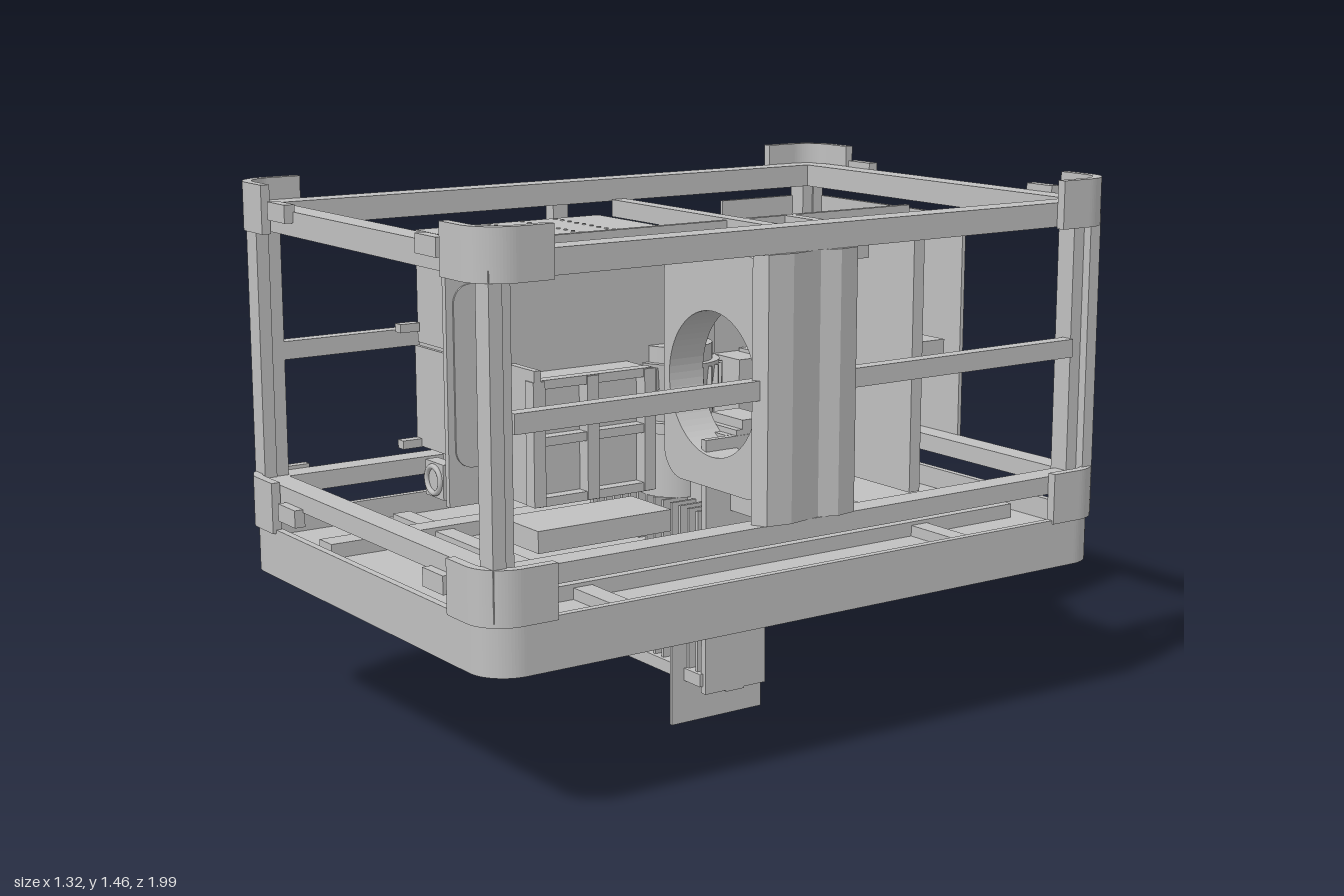
import * as THREE from 'three';

export function createModel() {
  const model = new THREE.Group();
  const grey = new THREE.MeshStandardMaterial({ color: 0xc0c0c0 });
  grey.name = 'light grey metal';

  const add = (name, geo) => {
    const m = new THREE.Mesh(geo, grey);
    m.name = name;
    model.add(m);
    return m;
  };
  // box given by its extents on each axis
  const box = (name, x0, x1, y0, y1, z0, z1) => {
    const m = add(name, new THREE.BoxGeometry(x1 - x0, y1 - y0, z1 - z0));
    m.position.set((x0 + x1) / 2, (y0 + y1) / 2, (z0 + z1) / 2);
    return m;
  };
  const cyl = (name, r0, r1, y0, y1, x, z) => {
    const m = add(name, new THREE.CylinderGeometry(r1, r0, y1 - y0, 32));
    m.position.set(x, (y0 + y1) / 2, z);
    return m;
  };
  const rounded = (path, x0, x1, y0, y1, r) => {
    path.moveTo(x0 + r, y0);
    path.lineTo(x1 - r, y0); path.absarc(x1 - r, y0 + r, r, -Math.PI / 2, 0);
    path.lineTo(x1, y1 - r); path.absarc(x1 - r, y1 - r, r, 0, Math.PI / 2);
    path.lineTo(x0 + r, y1); path.absarc(x0 + r, y1 - r, r, Math.PI / 2, Math.PI);
    path.lineTo(x0, y0 + r); path.absarc(x0 + r, y0 + r, r, Math.PI, Math.PI * 1.5);
    return path;
  };
  const extrude = (shape, depth) =>
    new THREE.ExtrudeGeometry(shape, { depth, bevelEnabled: false, curveSegments: 10 });
  // plan outline raised from y0 to y1 (shape y becomes -z)
  const raise = (name, shape, y0, y1) => {
    const m = add(name, extrude(shape, y1 - y0).rotateX(-Math.PI / 2));
    m.position.y = y0;
    return m;
  };
  // thin sheet wrapped round a vertical corner, in the +x, -z quadrant
  const wrap = (x, z, r, t, xEnd, zEnd) => {
    const s = new THREE.Shape();
    s.moveTo(xEnd, z); s.lineTo(xEnd, z - t); s.lineTo(x - r, z - t);
    s.absarc(x - r, z - r, r - t, Math.PI / 2, 0, true);
    s.lineTo(x - t, zEnd); s.lineTo(x, zEnd); s.lineTo(x, z - r);
    s.absarc(x - r, z - r, r, 0, Math.PI / 2, false);
    s.closePath();
    return s;
  };

  // base tray: rim with a recessed floor
  const rim = rounded(new THREE.Shape(), -0.655, 0.655, -0.985, 0.985, 0.1);
  rim.holes.push(rounded(new THREE.Path(), -0.635, 0.635, -0.965, 0.965, 0.08));
  raise('baseRim', rim, 0.395, 0.53);
  raise('baseFloor', rounded(new THREE.Shape(), -0.636, 0.636, -0.966, 0.966, 0.08), 0.44, 0.47);
  for (const s of [-1, 1]) {
    box('floorRail', s * 0.35 - 0.035, s * 0.35 + 0.035, 0.47, 0.51, -0.9, 0.9);
    box('floorCrossMember', -0.56, 0.56, 0.47, 0.5, s * 0.555 - 0.028, s * 0.555 + 0.028);
  }
  for (const z of [-0.57, 0, 0.57]) box('underRib', -0.45, 0.45, 0.425, 0.44, z - 0.012, z + 0.012);

  // frame rails
  for (const s of [-1, 1]) {
    for (const [y0, y1] of [[0.6, 0.65], [1.335, 1.4]]) {
      box('endRail', -0.58, 0.58, y0, y1, s * 0.93 - 0.035, s * 0.93 + 0.035);
      box('sideRail', s * 0.6 - 0.035, s * 0.6 + 0.035, y0, y1, -0.95, 0.95);
    }
    box('middleRail', s * 0.6 - 0.02, s * 0.6 + 0.02, 0.97, 1.02, -0.89, 0.89);
  }
  // posts, corner guards and latches
  for (const sx of [-1, 1]) for (const sz of [-1, 1]) {
    box('cornerPost', sx * 0.605 - 0.03, sx * 0.605 + 0.03, 0.53, 1.36, sz * 0.945 - 0.018, sz * 0.945 + 0.018);
    box('cornerPostFlange', sx * 0.595 - 0.045, sx * 0.595 + 0.015, 0.6, 1.36, sz * 0.91 - 0.02, sz * 0.91 + 0.02);
    for (const [y0, y1] of [[0.52, 0.66], [1.33, 1.46]]) {
      const guard = new THREE.Group();
      guard.name = 'cornerGuard';
      const a = raise('cornerGuardShell', wrap(0.66, 0.995, 0.1, 0.025, 0.47, 0.8), y0, y1);
      guard.add(a);
      // turned half round, or drawn with swapped sides, to reach each corner
      if (sx * sz < 0) a.rotation.y = sx > 0 ? 0 : Math.PI;
      else {
        const g = extrude(wrap(0.995, 0.66, 0.1, 0.025, 0.8, 0.47), y1 - y0).rotateX(-Math.PI / 2);
        a.geometry = g;
        a.rotation.y = sx > 0 ? -Math.PI / 2 : Math.PI / 2;
      }
      model.add(guard);
    }
    for (const y of [0.585, 1.395])
      box('latch', sx * 0.395 - 0.05, sx * 0.395 + 0.05, y - 0.024, y + 0.024, sz * 0.975 - 0.015, sz * 0.975 + 0.015);
  }
  box('sidePost', -0.62, -0.58, 0.64, 1.35, -0.025, 0.025);
  box('topBeam', -0.56, 0.56, 1.29, 1.34, -0.212, -0.165);
  box('lowerBeam', -0.56, 0.56, 0.6, 0.65, -0.02, 0.02);

  // wrapped rear corner panel
  const rear = raise('rearCornerPanel', wrap(0.975, 0.645, 0.09, 0.012, 0.62, -0.08), 0.6, 1.3);
  rear.rotation.y = Math.PI / 2;

  // bent side panel with a shallow crease
  const bent = new THREE.Shape();
  [[0.6, -0.19], [0.64, -0.17], [0.65, -0.1], [0.63, 0], [0.65, 0.05], [0.64, 0.11],
    [0.625, 0.11], [0.635, 0.05], [0.615, 0], [0.635, -0.1], [0.625, -0.16], [0.6, -0.175]]
    .forEach(([x, y], i) => (i ? bent.lineTo(x, y) : bent.moveTo(x, y)));
  raise('bentSidePanel', bent, 0.65, 1.335);

  // central bulkhead with louvre slots (shape x becomes -z)
  const wall = new THREE.Shape();
  wall.moveTo(-0.72, 0.65); wall.lineTo(0.82, 0.65); wall.lineTo(0.82, 1.335); wall.lineTo(-0.72, 1.335);
  wall.closePath();
  for (let i = 0; i < 8; i++) {
    const y = 0.73 + i * 0.064;
    wall.holes.push(rounded(new THREE.Path(), 0.52, 0.79, y, y + 0.016, 0.007));
  }
  const bulkhead = add('centralBulkhead', extrude(wall, 0.018).rotateY(Math.PI / 2));
  bulkhead.position.x = -0.009;
  const door = add('bulkheadDoor', extrude(rounded(new THREE.Shape(), -0.7, 0.12, 0.75, 1.23, 0.05), 0.006).rotateY(Math.PI / 2));
  door.position.x = 0.008;

  // cross plate and fan shroud
  box('crossPlate', 0.01, 0.56, 0.65, 1.335, -0.4, -0.365);
  const shroud = rounded(new THREE.Shape(), 0.105, 0.548, 0.68, 1.31, 0.08);
  const hole = new THREE.Path();
  hole.absarc(0.322, 0.957, 0.193, 0, Math.PI * 2);
  shroud.holes.push(hole);
  const shroudMesh = add('fanShroud', new THREE.ExtrudeGeometry(shroud, { depth: 0.11, bevelEnabled: false, curveSegments: 32 }));
  shroudMesh.position.z = 0.001;

  // stacked cabinets with vents, hinges and a fan
  box('lowerCabinet', -0.558, -0.2, 0.69, 0.975, -0.1, 0.5);
  box('upperCabinet', -0.55, -0.198, 0.985, 1.3, -0.11, 0.495);
  box('cabinetSeam', -0.55, -0.21, 0.97, 0.99, -0.1, 0.49);
  for (let r = 0; r < 4; r++) for (let c = 0; c < 9; c++)
    cyl('ventStud', 0.006, 0.006, 1.299, 1.303, -0.53 + c * 0.038, 0.05 + r * 0.11);
  for (const y of [0.7, 1.03]) box('cabinetHinge', -0.56, -0.53, y - 0.012, y + 0.012, 0.5, 0.56);
  box('fanMount', -0.46, -0.36, 0.57, 0.67, 0.49, 0.53);
  const ring = add('fanRing', new THREE.TorusGeometry(0.038, 0.008, 8, 24));
  ring.position.set(-0.41, 0.62, 0.533);
  box('cabinetFoot', -0.5, -0.24, 0.6, 0.69, -0.08, 0.45);

  // battery stack with drawer fronts
  for (let i = 0; i < 4; i++) {
    const y = 0.6 + i * 0.122;
    box('batteryModule', -0.555, -0.24, y, y + 0.114, -0.58, -0.13);
    for (const z of [-0.5, -0.36, -0.22])
      box('batteryHandle', -0.563, -0.553, y + 0.04, y + 0.07, z - 0.045, z + 0.045);
  }

  // engine drum, flanges and mounting blocks
  cyl('engineLower', 0.1, 0.1, 0.6, 0.8, 0, 0);
  cyl('engineFlange', 0.125, 0.125, 0.78, 0.81, 0, 0);
  cyl('engineDrum', 0.1, 0.12, 0.81, 0.97, 0, 0);
  cyl('engineCap', 0.1, 0.1, 0.97, 1.015, 0, 0);
  for (let i = 0; i < 24; i++) {
    const a = (i / 24) * Math.PI * 2;
    const fin = box('engineFin', -0.01, 0.01, 0.9, 0.96, -0.003, 0.003);
    fin.position.set(Math.cos(a) * 0.118, 0.93, Math.sin(a) * 0.118);
    fin.rotation.y = -a;
  }
  box('engineBracket', -0.2, 0.28, 0.76, 0.8, -0.11, -0.01);
  box('engineSideBlock', 0.14, 0.28, 0.66, 0.84, -0.11, -0.02);
  box('engineRearBlock', -0.1, 0.13, 0.66, 0.97, -0.24, -0.12);
  box('controlBox', 0.02, 0.1, 0.65, 0.9, -0.36, -0.24);
  box('exhaustDuct', 0.02, 0.1, 0.9, 0.98, -0.76, -0.2);
  box('exhaustOutlet', 0.1, 0.24, 0.9, 0.98, -0.76, -0.67);

  // latticed unit in front of the engine
  box('latticeFront', -0.02, 0.14, 0.65, 1.01, 0.52, 0.54);
  box('latticeCore', 0, 0.1, 0.65, 0.98, 0.17, 0.52);
  for (const z of [0.18, 0.36, 0.525]) box('latticeUpright', 0.1, 0.14, 0.65, 0.98, z - 0.018, z + 0.018);
  for (const y of [0.66, 0.82, 0.97]) box('latticeBar', 0.1, 0.135, y - 0.012, y + 0.012, 0.17, 0.53);
  box('latticeTray', -0.04, 0.15, 0.53, 0.59, 0.12, 0.54);

  // finned heat exchanger reaching below the base
  box('exchangerPlate', -0.26, 0.26, 0.12, 0.8, -0.02, 0.02);
  box('exchangerPan', -0.27, 0.27, 0.12, 0.155, -0.1, 0.11);
  box('exchangerSill', -0.285, 0.28, 0.095, 0.12, -0.03, 0.03);
  box('exchangerTop', -0.2, 0.28, 0.79, 0.815, -0.06, 0.0);
  for (const s of [-1, 1]) box('exchangerSide', s * 0.272 - 0.01, s * 0.272 + 0.01, 0.1, 0.8, -0.1, 0.1);
  for (let i = 0; i < 13; i++) {
    const x = -0.24 + i * 0.04;
    box('exchangerFin', x - 0.005, x + 0.005, 0.15, 0.6, -0.1, 0.1);
  }
  box('hangingPlate', 0.187, 0.197, 0, 0.385, -0.15, 0.15);
  box('hangingBlock', 0.16, 0.19, 0.07, 0.1, -0.03, 0.03);

  // loose cables
  const cables = [
    [[-0.09, 0.42, 0.08], [-0.12, 0.33, 0.12], [-0.16, 0.22, 0.2], [-0.18, 0.17, 0.27]],
    [[0.06, 0.42, 0.06], [0.03, 0.35, 0.11], [0.04, 0.25, 0.115], [0.02, 0.17, 0.11]],
  ];
  for (const pts of cables) {
    const curve = new THREE.CatmullRomCurve3(pts.map(p => new THREE.Vector3(...p)));
    add('cable', new THREE.TubeGeometry(curve, 20, 0.006, 8));
  }
  return model;
}
